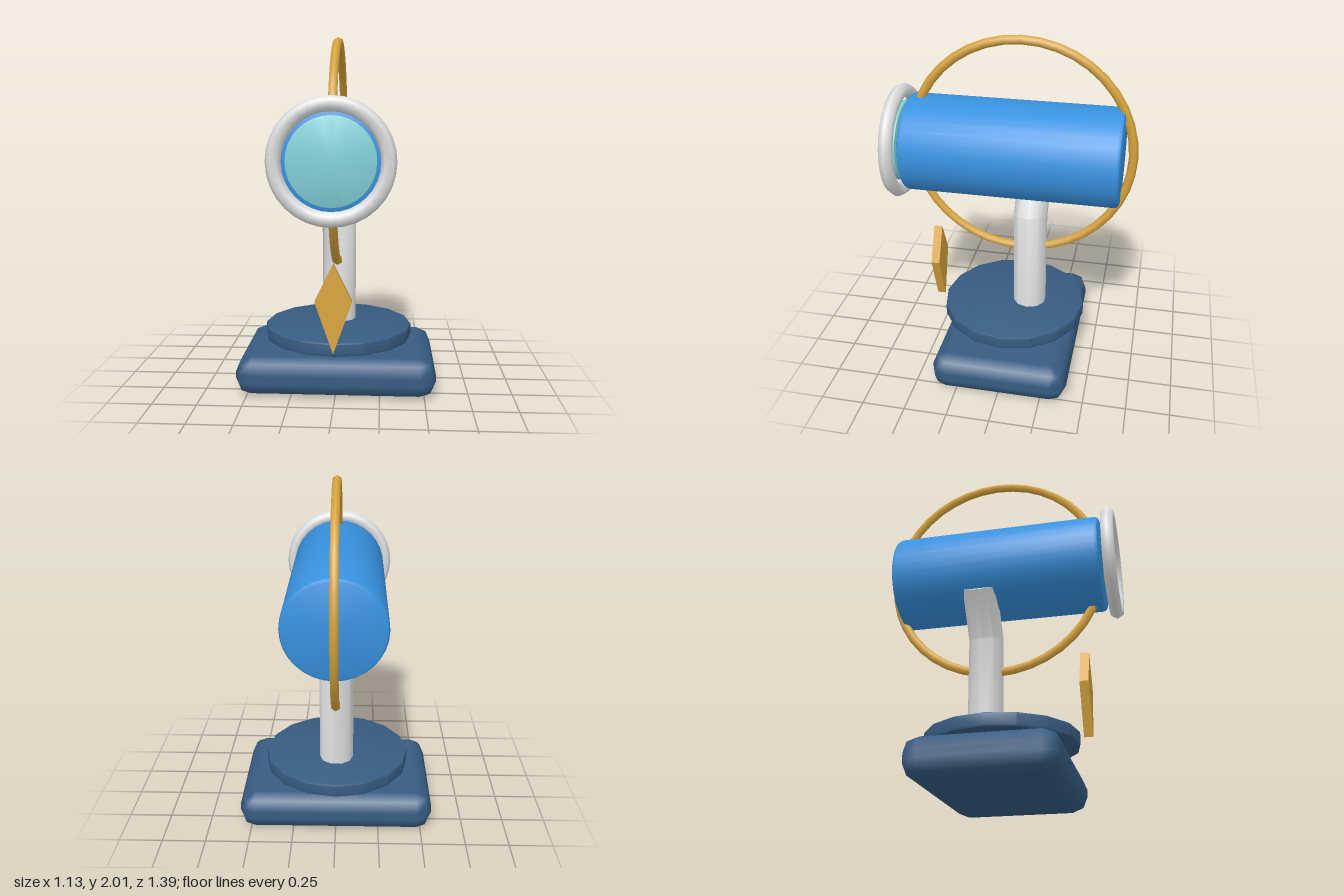
import * as THREE from 'three';
import { RoundedBoxGeometry } from 'three/addons/geometries/RoundedBoxGeometry.js';
import { toCreasedNormals } from 'three/addons/utils/BufferGeometryUtils.js';

function material(name, color) {
  const m = new THREE.MeshStandardMaterial({ color });
  m.name = name;
  return m;
}

// Solid disc or drum along y, centred, with a softened rim
function drum(radius, height, bevel, sides) {
  const h = height / 2;
  const points = [[0, -h], [radius - bevel, -h], [radius - bevel * 0.3, -h + bevel * 0.3], [radius, -h + bevel],
    [radius, h - bevel], [radius - bevel * 0.3, h - bevel * 0.3], [radius - bevel, h], [0, h]]
    .map(([x, y]) => new THREE.Vector2(x, y));
  return toCreasedNormals(new THREE.LatheGeometry(points, sides), 0.5);
}

// Post with one mitred bend: each ring of a cylinder is moved onto the bent path
function bentPost(radius, sides) {
  const rings = [
    { x: -0.17, y: 1.18, tilt: 0.575 },
    { x: 0, y: 0.92, tilt: 0.2875, stretch: 1 / Math.cos(0.2875) },
    { x: 0, y: 0.1, tilt: 0 },
  ];
  const geometry = new THREE.CylinderGeometry(radius, radius, 2, sides, 2);
  geometry.rotateY(Math.PI / 2);
  const p = geometry.attributes.position;
  for (let i = 0; i < p.count; i++) {
    const { x, y, tilt, stretch = 1 } = rings[1 - Math.round(p.getY(i))];
    const across = p.getX(i) * stretch;
    p.setXY(i, x + across * Math.cos(tilt), y + across * Math.sin(tilt));
  }
  return toCreasedNormals(geometry, 0.7);
}

export function createModel() {
  const model = new THREE.Group();
  const navy = material('navy', 0x375c82);
  const blue = material('blue', 0x3892e0);
  const white = material('white', 0xe0e1e2);
  const gold = material('gold', 0xd9a53e);
  const aqua = material('aqua', 0x82d0d8);

  const add = (name, geometry, mat, x, y, z) => {
    const mesh = new THREE.Mesh(geometry, mat);
    mesh.name = name;
    mesh.position.set(x, y, z);
    model.add(mesh);
    return mesh;
  };

  // Stand
  add('base', new RoundedBoxGeometry(1.128, 0.22, 0.798, 1, 0.09), navy, 0, 0.102, 0);
  add('turntable', drum(0.43, 0.078, 0.01, 16), navy, 0, 0.293, 0);
  add('post', bentPost(0.1, 10), white, 0, 0, -0.095);

  // Barrel with front rim and lens
  const centreY = 1.34;
  add('barrel', drum(0.28, 1.22, 0.022, 32), blue, 0, centreY, 0).rotation.x = Math.PI / 2;
  add('frontRim', new THREE.TorusGeometry(0.29, 0.04, 6, 32), white, 0, centreY, 0.664);
  add('lens', drum(0.232, 0.035, 0.006, 32), aqua, 0, centreY, 0.65).rotation.x = Math.PI / 2;

  // Upright hoop around the barrel
  add('hoop', new THREE.TorusGeometry(0.632, 0.026, 6, 40), gold, 0, 1.342, -0.034).rotation.y = Math.PI / 2;

  // Pendant in front of the post
  const kite = new THREE.Shape([[0, 0.785], [-0.1, 0.58], [0, 0.295], [0.1, 0.58]]
    .map(([x, y]) => new THREE.Vector2(x, y)));
  add('pendant', new THREE.ExtrudeGeometry(kite, { depth: 0.05, bevelEnabled: false }), gold, 0, 0, 0.45);

  return model;
}
